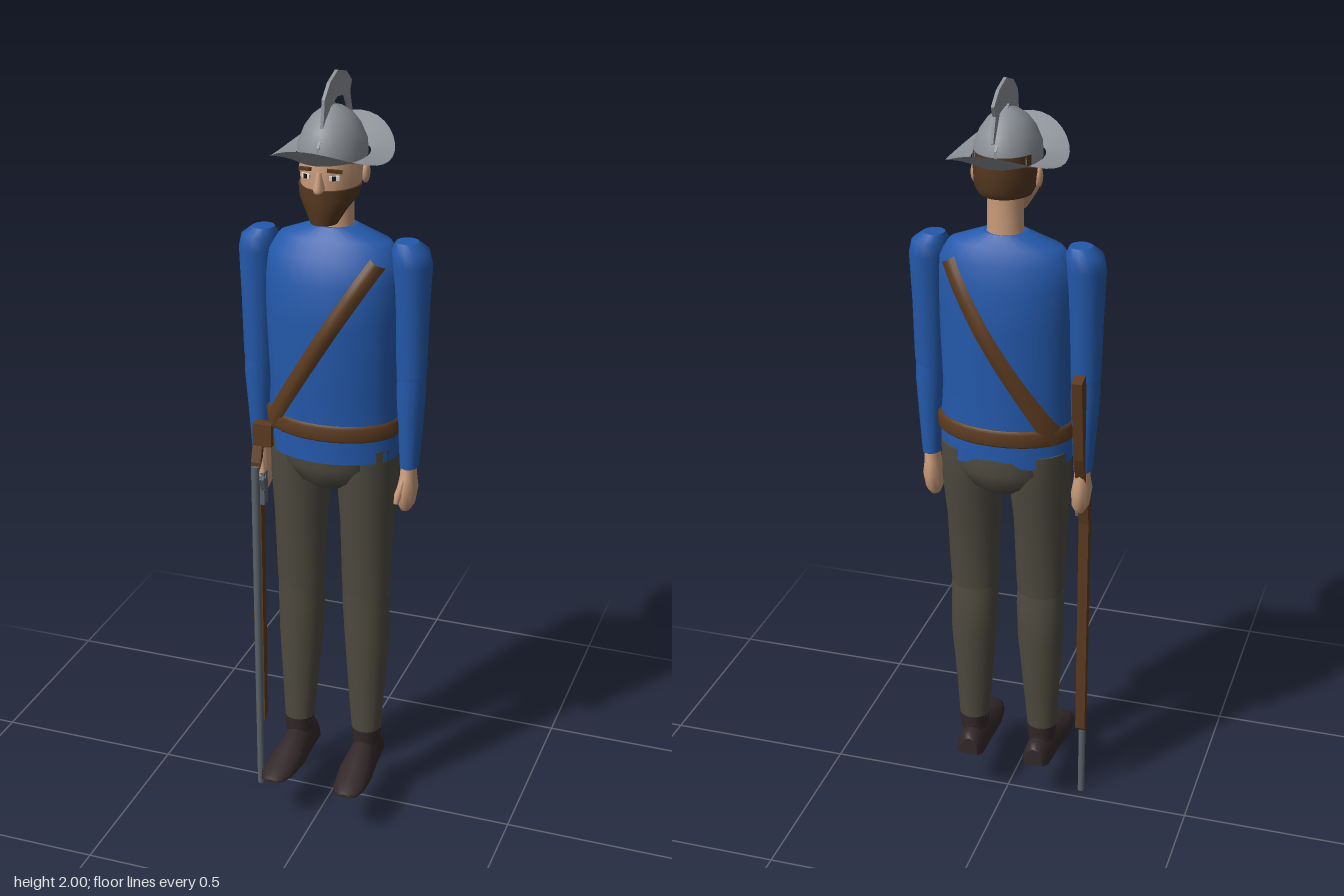
import * as THREE from 'three';

const mat = (name, color) => Object.assign(new THREE.MeshStandardMaterial({ color }), { name });

// Solid through elliptical sections [y, x, z, rx, rz], listed bottom to top; optional arc
function loft(sections, segs = 20, start = 0, arc = Math.PI * 2) {
  const full = arc > 6.28, n = full ? segs : segs + 1, pos = [], idx = [];
  const ring = ([y, x, z, rx, rz]) => {
    for (let j = 0; j < n; j++) {
      const t = start + arc * j / segs;
      pos.push(x + rx * Math.sin(t), y, z + rz * Math.cos(t));
    }
  };
  sections.forEach(ring);
  for (let i = 0; i < sections.length - 1; i++) for (let j = 0; j < segs; j++) {
    const k = (j + 1) % n, a = i * n + j, b = i * n + k;
    idx.push(a, b, a + n, b, b + n, a + n);
  }
  for (const top of [false, true]) {
    const s = top ? sections[sections.length - 1] : sections[0], c = pos.length / 3;
    pos.push(s[1], s[0], s[2]);
    ring(s);
    for (let j = 0; j < segs; j++) {
      const a = c + 1 + j, b = c + 1 + (j + 1) % n;
      idx.push(c, top ? a : b, top ? b : a);
    }
  }
  const g = new THREE.BufferGeometry();
  g.setAttribute('position', new THREE.Float32BufferAttribute(pos, 3));
  g.setIndex(idx);
  g.computeVertexNormals();
  return g;
}

// Flat outline of [z, y] points, extruded across x
function sidePlate(points, x, thick) {
  const shape = new THREE.Shape(points.map(p => new THREE.Vector2(...p)));
  return new THREE.ExtrudeGeometry(shape, { depth: thick, bevelEnabled: false })
    .rotateY(-Math.PI / 2).translate(x + thick / 2, 0, 0);
}

// Grid surface from a function of u, v in 0..1
function sheet(nu, nv, f) {
  const g = new THREE.PlaneGeometry(1, 1, nu, nv), p = g.attributes.position;
  for (let i = 0; i < p.count; i++) p.setXYZ(i, ...f(p.getX(i) + 0.5, p.getY(i) + 0.5));
  g.computeVertexNormals();
  return g;
}

const TORSO = [
  [1.04, 0, -0.012, 0.17, 0.113], [1.12, 0, -0.012, 0.17, 0.112], [1.22, 0, -0.007, 0.165, 0.112],
  [1.4, 0, -0.005, 0.172, 0.12], [1.5, 0, -0.008, 0.174, 0.109], [1.56, 0, -0.013, 0.172, 0.09],
  [1.6, 0, -0.018, 0.14, 0.068], [1.63, 0, -0.02, 0.055, 0.047],
];

// Depth of the torso surface at x, y
function torsoZ(x, y, side) {
  let i = 0;
  while (i < TORSO.length - 2 && TORSO[i + 1][0] < y) i++;
  const a = TORSO[i], b = TORSO[i + 1], t = (y - a[0]) / (b[0] - a[0]);
  const [, , z, rx, rz] = a.map((v, k) => v + (b[k] - v) * t);
  return z + side * rz * Math.sqrt(Math.max(0, 1 - (x / rx) ** 2));
}

export function createModel() {
  const blue = mat('blue cloth', 0x2459ab), trousers = mat('grey brown cloth', 0x4e4a3f);
  const leather = mat('leather', 0x5c3b20), skin = mat('skin', 0xc99b7a), hair = mat('brown hair', 0x553820);
  const shoe = mat('dark shoe', 0x33282a), steel = mat('steel', 0x8b9096), white = mat('eye white', 0xe6e2dc);
  const gunmetal = mat('gunmetal', 0x59626a), dark = mat('dark pupil', 0x1c1614);
  steel.side = leather.side = THREE.DoubleSide;

  const model = new THREE.Group();
  const add = (name, geo, m) => {
    const mesh = new THREE.Mesh(geo, m);
    mesh.name = name;
    model.add(mesh);
    return mesh;
  };
  const box = (name, m, w, h, d, x, y, z) => {
    const b = add(name, new THREE.BoxGeometry(w, h, d), m);
    b.position.set(x, y, z);
    return b;
  };

  // Body
  add('torso', loft(TORSO, 28), blue);
  add('pelvis', loft([[0.95, 0, -0.015, 0.06, 0.07], [0.975, 0, -0.015, 0.105, 0.1],
    [1.02, 0, -0.015, 0.15, 0.116], [1.08, 0, -0.012, 0.165, 0.11]], 24), trousers);
  add('belt', loft([[1.1, 0, -0.012, 0.17, 0.113], [1.107, 0, -0.012, 0.178, 0.12],
    [1.138, 0, -0.012, 0.178, 0.12], [1.145, 0, -0.012, 0.17, 0.113]], 28), leather);
  // Shoulder strap, front and back
  for (const side of [1, -1]) {
    add(side > 0 ? 'frontStrap' : 'backStrap', sheet(20, 4, (u, v) => {
      const w = (v - 0.5) * 0.042, raise = 0.004 + 0.01 * Math.sin(Math.PI * v);
      const x = 0.13 - 0.28 * u + 0.85 * w, y = 1.56 - 0.45 * u - 0.53 * w;
      return [x, y, torsoZ(x, y, side) + side * raise];
    }), leather);
  }
  box('strapHanger', leather, 0.05, 0.06, 0.03, -0.168, 1.075, 0.05);

  // Arms and legs
  for (const s of [1, -1]) {
    const n = s > 0 ? 'left' : 'right';
    add(n + 'UpperArm', loft([[1.24, s * 0.2, -0.01, 0.034, 0.032], [1.27, s * 0.202, -0.01, 0.038, 0.037],
      [1.42, s * 0.2, -0.01, 0.043, 0.043], [1.55, s * 0.198, -0.012, 0.05, 0.052],
      [1.585, s * 0.194, -0.012, 0.046, 0.05], [1.605, s * 0.185, -0.012, 0.028, 0.03]], 14), blue);
    add(n + 'Forearm', loft([[1.015, s * 0.2, -0.013, 0.024, 0.03], [1.12, s * 0.201, -0.012, 0.031, 0.033],
      [1.22, s * 0.202, -0.01, 0.037, 0.036], [1.27, s * 0.202, -0.01, 0.035, 0.034]], 14), blue);
    add(n + 'Hand', loft([[0.895, s * 0.193, -0.01, 0.012, 0.018], [0.915, s * 0.195, -0.01, 0.022, 0.034],
      [0.955, s * 0.197, -0.01, 0.026, 0.042], [0.99, s * 0.198, -0.012, 0.021, 0.03],
      [1.025, s * 0.199, -0.013, 0.02, 0.024]], 12), skin);
    add(n + 'Thumb', loft([[0.925, s * 0.18, 0.03, 0.007, 0.007], [0.95, s * 0.184, 0.028, 0.01, 0.011],
      [0.985, s * 0.192, 0.012, 0.008, 0.009]], 8), skin);
    add(n + 'Thigh', loft([[0.62, s * 0.09, -0.005, 0.058, 0.048], [0.66, s * 0.09, -0.004, 0.064, 0.052],
      [0.85, s * 0.09, -0.008, 0.07, 0.068], [0.97, s * 0.089, -0.015, 0.079, 0.088],
      [1.07, s * 0.088, -0.015, 0.08, 0.09]], 18), trousers);
    add(n + 'Shin', loft([[0.215, s * 0.096, 0, 0.039, 0.039], [0.32, s * 0.094, -0.002, 0.047, 0.043],
      [0.5, s * 0.092, -0.01, 0.06, 0.056], [0.6, s * 0.09, -0.007, 0.063, 0.052],
      [0.645, s * 0.09, -0.004, 0.062, 0.05]], 18), trousers);
    add(n + 'ShoeCuff', loft([[0.185, s * 0.096, 0, 0.036, 0.038], [0.23, s * 0.096, 0, 0.041, 0.041]], 16), shoe);

    // Shoe lofted heel to toe, flattened at the sole
    const g = loft([[-0.07, s * 0.092, -0.13, 0.025, 0.05], [-0.055, s * 0.093, -0.13, 0.037, 0.067],
      [0.03, s * 0.095, -0.13, 0.041, 0.07], [0.1, s * 0.098, -0.13, 0.047, 0.047],
      [0.165, s * 0.102, -0.13, 0.042, 0.026], [0.195, s * 0.103, -0.13, 0.03, 0.015],
      [0.206, s * 0.103, -0.13, 0.014, 0.009]], 16).rotateX(Math.PI / 2);
    const p = g.attributes.position;
    for (let i = 0; i < p.count; i++) p.setY(i, Math.max(0.13, p.getY(i)));
    g.computeVertexNormals();
    add(n + 'Shoe', g, shoe);

    // Face features in pairs
    box(n + 'Eye', white, 0.024, 0.011, 0.006, s * 0.035, 1.773, 0.09).rotation.y = s * 0.4;
    box(n + 'Pupil', dark, 0.01, 0.011, 0.006, s * 0.035, 1.773, 0.0915).rotation.y = s * 0.4;
    box(n + 'Brow', hair, 0.036, 0.008, 0.008, s * 0.037, 1.79, 0.091).rotation.set(0, s * 0.4, s * -0.12);
    const ear = add(n + 'Ear', new THREE.SphereGeometry(1, 10, 8), skin);
    ear.scale.set(0.01, 0.026, 0.016);
    ear.position.set(s * 0.079, 1.765, -0.012);
  }

  // Head
  add('neck', loft([[1.59, 0, -0.022, 0.05, 0.047], [1.64, 0, -0.022, 0.045, 0.042],
    [1.74, 0, -0.02, 0.044, 0.044]], 16), skin);
  add('head', loft([[1.665, 0, 0.055, 0.03, 0.034], [1.69, 0, 0.045, 0.047, 0.05], [1.72, 0, 0.02, 0.067, 0.077],
    [1.76, 0, 0, 0.075, 0.098], [1.82, 0, 0, 0.077, 0.098], [1.87, 0, 0, 0.058, 0.075]], 24), skin);
  add('beard', loft([[1.655, 0, 0.06, 0.033, 0.038], [1.69, 0, 0.045, 0.053, 0.058], [1.715, 0, 0.022, 0.071, 0.082],
    [1.742, 0, 0.006, 0.077, 0.098]], 20, -Math.PI / 2, Math.PI), hair);
  add('hair', loft([[1.725, 0, -0.012, 0.066, 0.078], [1.745, 0, -0.008, 0.077, 0.096],
    [1.79, 0, -0.005, 0.081, 0.102], [1.83, 0, -0.005, 0.079, 0.1]], 20, Math.PI * 0.56, Math.PI * 0.88), hair);
  add('nose', loft([[1.738, 0, 0.096, 0.012, 0.02], [1.748, 0, 0.096, 0.014, 0.024],
    [1.785, 0, 0.092, 0.007, 0.01]], 8), skin);

  // Helmet: domed crown, upswept brim and curled crest
  add('helmetCrown', loft([[1.805, 0, 0, 0.082, 0.106], [1.84, 0, 0, 0.08, 0.104], [1.875, 0, 0, 0.066, 0.086],
    [1.9, 0, 0, 0.048, 0.064], [1.917, 0, 0, 0.026, 0.036], [1.925, 0, 0, 0.004, 0.006]], 28), steel);
  add('helmetBrim', sheet(36, 4, (u, v) => {
    const a = u * Math.PI * 2, z = Math.cos(a);
    return [Math.sin(a) * (0.086 + 0.054 * v), 1.808 - 0.008 * v + 0.062 * v * z * z, z * (0.124 + 0.081 * v)];
  }), steel);
  add('helmetRidge', sidePlate([[0.107, 1.81], [0.104, 1.845], [0.07, 1.892], [0, 1.932], [-0.07, 1.892],
    [-0.104, 1.845], [-0.107, 1.81]], 0, 0.006), steel);
  add('crest', sidePlate([[0.08, 1.87], [0.067, 1.95], [0.03, 1.982], [-0.025, 2], [-0.085, 1.985], [-0.125, 1.955],
    [-0.112, 1.93], [-0.133, 1.872], [-0.122, 1.868], [-0.08, 1.93], [-0.02, 1.938], [0.03, 1.922], [0.055, 1.89]], 0, 0.008), steel);

  // Long gun carried muzzle down in the right hand
  add('gunBarrel', new THREE.CylinderGeometry(0.011, 0.009, 0.97, 10).translate(-0.2, 0.485, 0.035), gunmetal);
  add('gunStock', sidePlate([[0.03, 0.2], [0.032, 0.98], [0.012, 1.04], [-0.055, 1.29], [-0.092, 1.28],
    [-0.062, 1.06], [-0.018, 0.95], [0.004, 0.85], [0.008, 0.22]], -0.2, 0.026), leather);
  box('gunLock', gunmetal, 0.012, 0.09, 0.026, -0.181, 0.91, 0.025);
  box('gunHammer', gunmetal, 0.012, 0.04, 0.014, -0.175, 0.93, 0.044).rotation.x = 0.4;
  return model;
}
